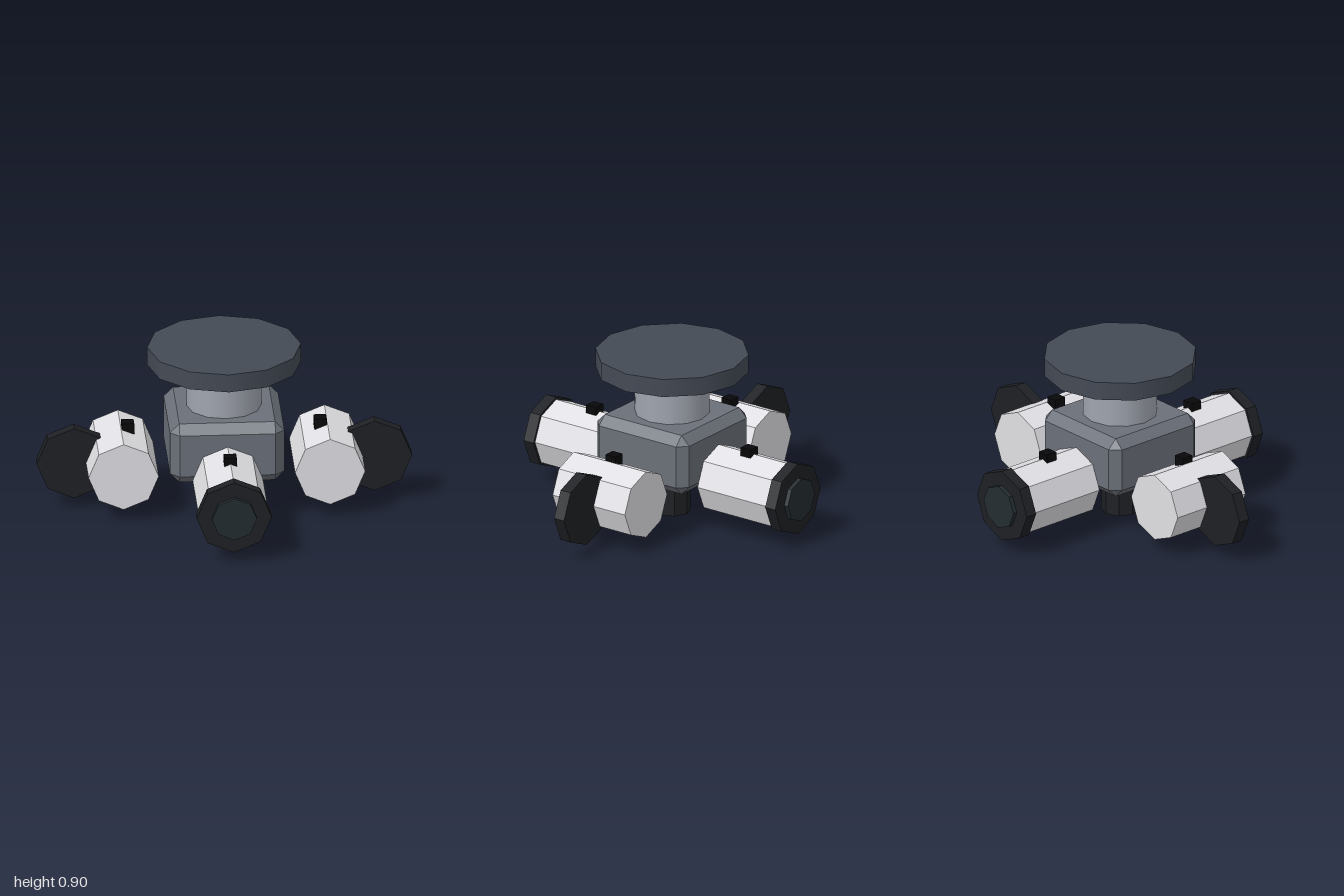
import * as THREE from 'three';
import { ConvexGeometry } from 'three/addons/geometries/ConvexGeometry.js';

const mat = (color, flatShading = true) => new THREE.MeshStandardMaterial({ color, flatShading });
const barrelMat = mat(0xe0e0e4);
const bodyMat = mat(0x6b7079);
const neckMat = mat(0xa0a5af, false);
const plateMat = mat(0x444a55, false);
const capMat = mat(0x1e2024);
const lensMat = mat(0x232c30);
const buttonMat = mat(0x08080a);

// Box with a 45 degree chamfer on every edge
function chamferBox(w, h, d, c) {
  const points = [];
  for (const x of [-w / 2, w / 2]) for (const y of [-h / 2, h / 2]) for (const z of [-d / 2, d / 2]) {
    const ix = x - Math.sign(x) * c, iy = y - Math.sign(y) * c, iz = z - Math.sign(z) * c;
    points.push(new THREE.Vector3(x, iy, iz), new THREE.Vector3(ix, y, iz), new THREE.Vector3(ix, iy, z));
  }
  return new ConvexGeometry(points);
}

export function createModel() {
  const model = new THREE.Group();
  const add = (name, geometry, material, x, y, z) => {
    const mesh = new THREE.Mesh(geometry, material);
    mesh.name = name;
    mesh.position.set(x, y, z);
    model.add(mesh);
    return mesh;
  };
  const upright = (r, h, sides) => new THREE.CylinderGeometry(r, r, h, sides);
  const alongZ = (r, h) => upright(r, h, 8).rotateX(Math.PI / 2);

  // Central column
  add('topPlate', upright(0.41, 0.1, 12), plateMat, 0, 0.855, 0);
  add('neck', upright(0.2, 0.26, 12), neckMat, 0, 0.68, 0);
  add('body', chamferBox(0.61, 0.335, 0.61, 0.05), bodyMat, 0, 0.3975, 0);
  add('bottomPin', upright(0.1, 0.26, 8), capMat, 0, 0.13, 0);

  // Four barrels with end caps and buttons; every barrel lies along z
  const barrel = alongZ(0.187, 0.48);
  const cap = alongZ(0.2, 0.066);
  const lens = alongZ(0.12, 0.05);
  const button = new THREE.BoxGeometry(0.066, 0.06, 0.066);
  for (const [side, dx, dz] of [['front', 0, 1], ['back', 0, -1], ['left', 1, 0], ['right', -1, 0]]) {
    add(side + 'Barrel', barrel, barrelMat, dx * 0.55, 0.26, dz * 0.55);
    add(side + 'Cap', cap, capMat, dx * 0.8, 0.26, dz * 0.803);
    add(side + 'Button', button, buttonMat, dx * 0.513, 0.45, dz * 0.513);
    if (dz) add(side + 'Lens', lens, lensMat, 0, 0.26, dz * 0.835);
  }
  return model;
}
